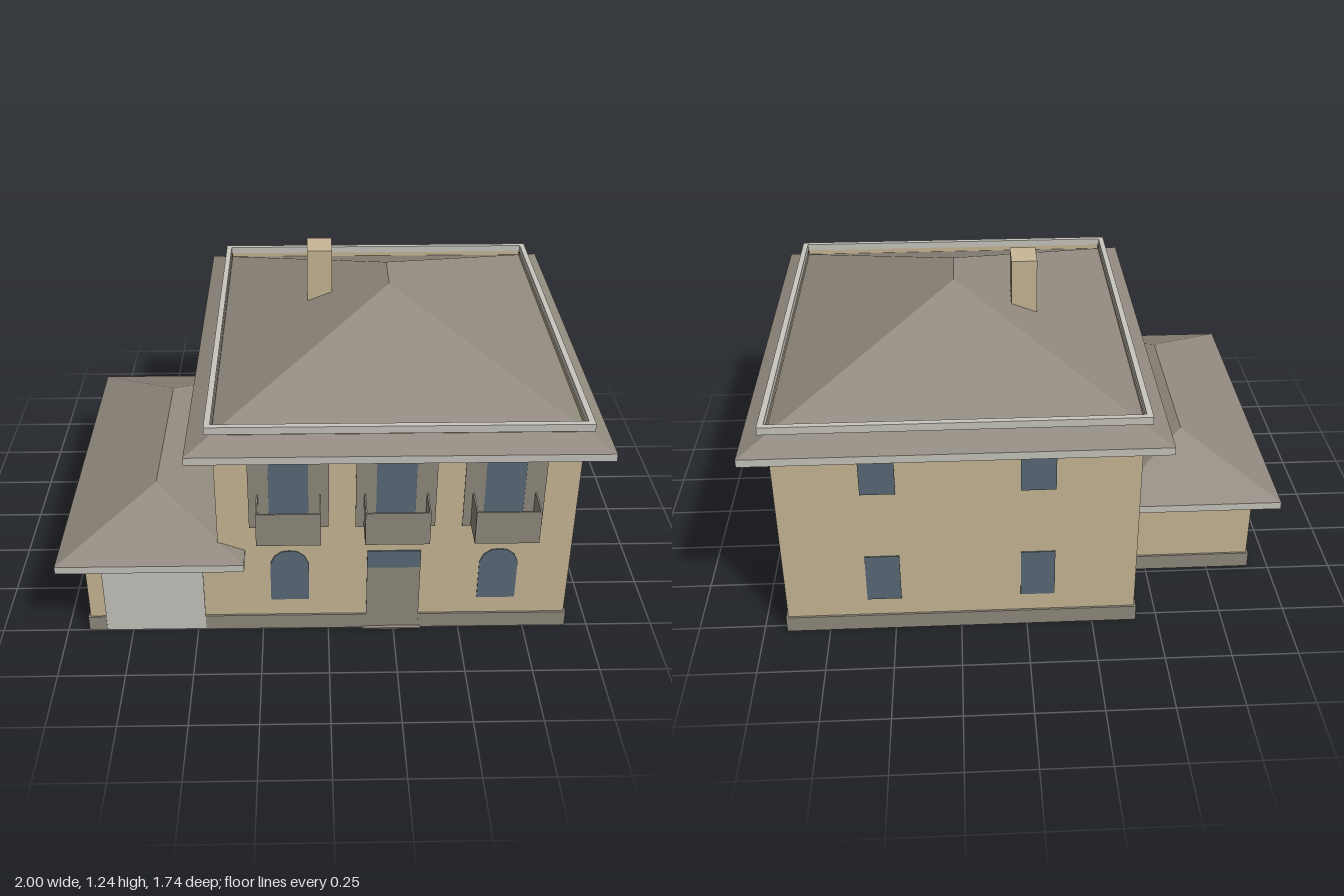
import * as THREE from 'three';

const flat = (name, color, side = THREE.FrontSide) => {
  const m = new THREE.MeshStandardMaterial({ color, side });
  m.name = name;
  return m;
};

export function createModel() {
  const house = new THREE.Group();
  house.name = 'house';
  const wallMat = flat('sandPlaster', 0xc9b896, THREE.DoubleSide);
  const roofMat = flat('roofTile', 0x91897e, THREE.DoubleSide);
  const trimMat = flat('paleTrim', 0xc8c6be);
  const stoneMat = flat('greyStone', 0x918a7e);
  const glassMat = flat('blueGlass', 0x5a6a78);

  const add = (name, geo, mat, parent = house) => {
    const m = new THREE.Mesh(geo, mat);
    m.name = name;
    parent.add(m);
    return m;
  };
  // Box given by its limits on each axis
  const box = (name, mat, x0, x1, y0, y1, z0, z1, parent) => {
    const g = new THREE.BoxGeometry(x1 - x0, y1 - y0, z1 - z0);
    g.translate((x0 + x1) / 2, (y0 + y1) / 2, (z0 + z1) / 2);
    return add(name, g, mat, parent);
  };
  // Open wall sheets along a ground path of [x, z] points
  const walls = (name, path, h) => {
    const group = new THREE.Group();
    group.name = name;
    house.add(group);
    for (let i = 0; i + 1 < path.length; i++) {
      const [ax, az] = path[i], [bx, bz] = path[i + 1];
      const w = add('wall', new THREE.PlaneGeometry(Math.hypot(bx - ax, bz - az), h), wallMat, group);
      w.position.set((ax + bx) / 2, h / 2, (az + bz) / 2);
      w.rotation.y = Math.atan2(-(bz - az), bx - ax);
    }
  };
  // Flat rectangular ring, limits as [x0, x1, z0, z1]
  const ring = (name, mat, o, i, y0, y1) => {
    const corners = ([x0, x1, z0, z1]) =>
      [[x0, -z1], [x1, -z1], [x1, -z0], [x0, -z0]].map(p => new THREE.Vector2(...p));
    const s = new THREE.Shape(corners(o));
    s.holes.push(new THREE.Path(corners(i).reverse()));
    const g = new THREE.ExtrudeGeometry(s, { depth: y1 - y0, bevelEnabled: false });
    g.rotateX(-Math.PI / 2).translate(0, y0, 0);
    return add(name, g, mat);
  };
  // Hip roof with its ridge along z
  const hipRoof = (name, [x0, x1, z0, z1], y, top) => {
    const cx = (x0 + x1) / 2, r = (x1 - x0) / 2;
    const a = [x0, y, z1], b = [x1, y, z1], c = [x1, y, z0], d = [x0, y, z0];
    const f = [cx, top, z1 - r], k = [cx, top, z0 + r];
    const tris = [a, b, f, b, c, k, b, k, f, c, d, k, d, a, f, d, f, k];
    const g = new THREE.BufferGeometry();
    g.setAttribute('position', new THREE.Float32BufferAttribute(tris.flat(), 3));
    g.computeVertexNormals();
    return add(name, g, roofMat);
  };

  const X0 = -0.41, X1 = 0.905, Z0 = -0.775, Z1 = 0.745;
  const GX = -0.91, GZ = -0.475;

  // Walls
  walls('mainWalls', [[X0, Z1], [X1, Z1], [X1, Z0], [X0, Z0], [X0, Z1]], 0.9);
  walls('garageWalls', [[X0, GZ], [GX, GZ], [GX, Z1], [X0, Z1]], 0.38);

  // Roofs, eaves and parapet
  const mainEave = [-0.505, 1, -0.87, 0.835], garageEave = [-1, -0.31, -0.565, 0.835];
  hipRoof('mainRoof', mainEave, 0.845, 1.147);
  hipRoof('garageRoof', garageEave, 0.374, 0.51);
  ring('mainEaves', trimMat, mainEave, [X0, X1, Z0, Z1], 0.815, 0.845);
  ring('garageEaves', trimMat, garageEave, [GX, -0.4, GZ, Z1], 0.344, 0.374);
  ring('parapetCap', trimMat, [-0.435, 0.93, -0.8, 0.77], [-0.413, 0.908, -0.778, 0.748], 0.898, 0.927);
  box('chimney', wallMat, -0.07, 0.028, 0.93, 1.235, -0.16, -0.03);

  // Plinth
  const T = 0.008, H = 0.065;
  for (const [x0, x1] of [[GX - T, -0.85], [-0.47, 0.145], [0.345, X1 + T]])
    box('frontPlinth', stoneMat, x0, x1, 0, H, Z1, Z1 + T);
  box('leftPlinth', stoneMat, X1, X1 + T, 0, H, Z0 - T, Z1);
  box('backPlinth', stoneMat, X0 - T, X1, 0, H, Z0 - T, Z0);
  box('sidePlinth', stoneMat, X0 - T, X0, 0, H, Z0, GZ - T);
  box('garageBackPlinth', stoneMat, GX - T, X0, 0, H, GZ - T, GZ);
  box('garageSidePlinth', stoneMat, GX - T, GX, 0, H, GZ, Z1);

  // Doors
  box('garageDoor', trimMat, -0.85, -0.47, 0, 0.325, Z1 + 0.001, Z1 + 0.006);
  box('frontDoor', stoneMat, 0.145, 0.345, 0, 0.29, Z1 + 0.001, Z1 + 0.006);
  box('transom', glassMat, 0.145, 0.345, 0.29, 0.367, Z1 + 0.001, Z1 + 0.006);
  box('doorstep', stoneMat, 0.13, 0.355, 0, 0.006, Z1, Z1 + 0.02);

  // Arched ground-floor windows
  for (const cx of [-0.145, 0.637]) {
    const s = new THREE.Shape();
    [[-0.072, 0.14], [0.072, 0.14], [0.072, 0.31], [0.057, 0.345], [0.03, 0.366],
      [0, 0.37], [-0.03, 0.366], [-0.057, 0.345], [-0.072, 0.31]]
      .forEach(([x, y], i) => (i ? s.lineTo(x, y) : s.moveTo(x, y)));
    const g = new THREE.ExtrudeGeometry(s, { depth: 0.008, bevelEnabled: false });
    add('archedWindow', g, glassMat).position.set(cx, 0, Z1 - 0.004);
  }

  // French windows with shutters and balconies
  for (const cx of [-0.145, 0.245, 0.637]) {
    const bay = new THREE.Group();
    bay.name = 'balconyBay';
    bay.position.x = cx;
    house.add(bay);
    box('frenchWindow', glassMat, -0.072, 0.072, 0.48, 0.815, Z1 - 0.004, Z1 + 0.004, bay);
    for (const s of [-1, 1]) {
      const x = s * 0.109;
      box('shutter', stoneMat, x - 0.037, x + 0.037, 0.48, 0.815, Z1 + 0.001, Z1 + 0.005, bay);
      const e = s * 0.113;
      box('balconySide', stoneMat, e - 0.003, e + 0.003, 0.49, 0.627, Z1, 0.864, bay);
    }
    box('balconyFloor', stoneMat, -0.11, 0.11, 0.49, 0.498, Z1, 0.864, bay);
    box('balconyFront', stoneMat, -0.116, 0.116, 0.49, 0.627, 0.864, 0.87, bay);
  }

  // Plain windows on the sides and back
  const rows = [[0.14, 0.34], [0.62, 0.812]];
  for (const [y0, y1] of rows) {
    for (const z of [0.308, -0.337]) {
      box('leftWindow', glassMat, X1 - 0.004, X1 + 0.004, y0, y1, z - 0.063, z + 0.063);
      if (y0 > 0.5)
        box('rightWindow', glassMat, X0 - 0.004, X0 + 0.004, y0, y1, z - 0.063, z + 0.063);
    }
    for (const x of [0.537, -0.04])
      box('backWindow', glassMat, x - 0.064, x + 0.064, y0, y1, Z0 - 0.004, Z0 + 0.004);
  }
  box('garageWindow', glassMat, GX - 0.004, GX + 0.004, 0.23, 0.325, 0.07, 0.195);

  return house;
}
